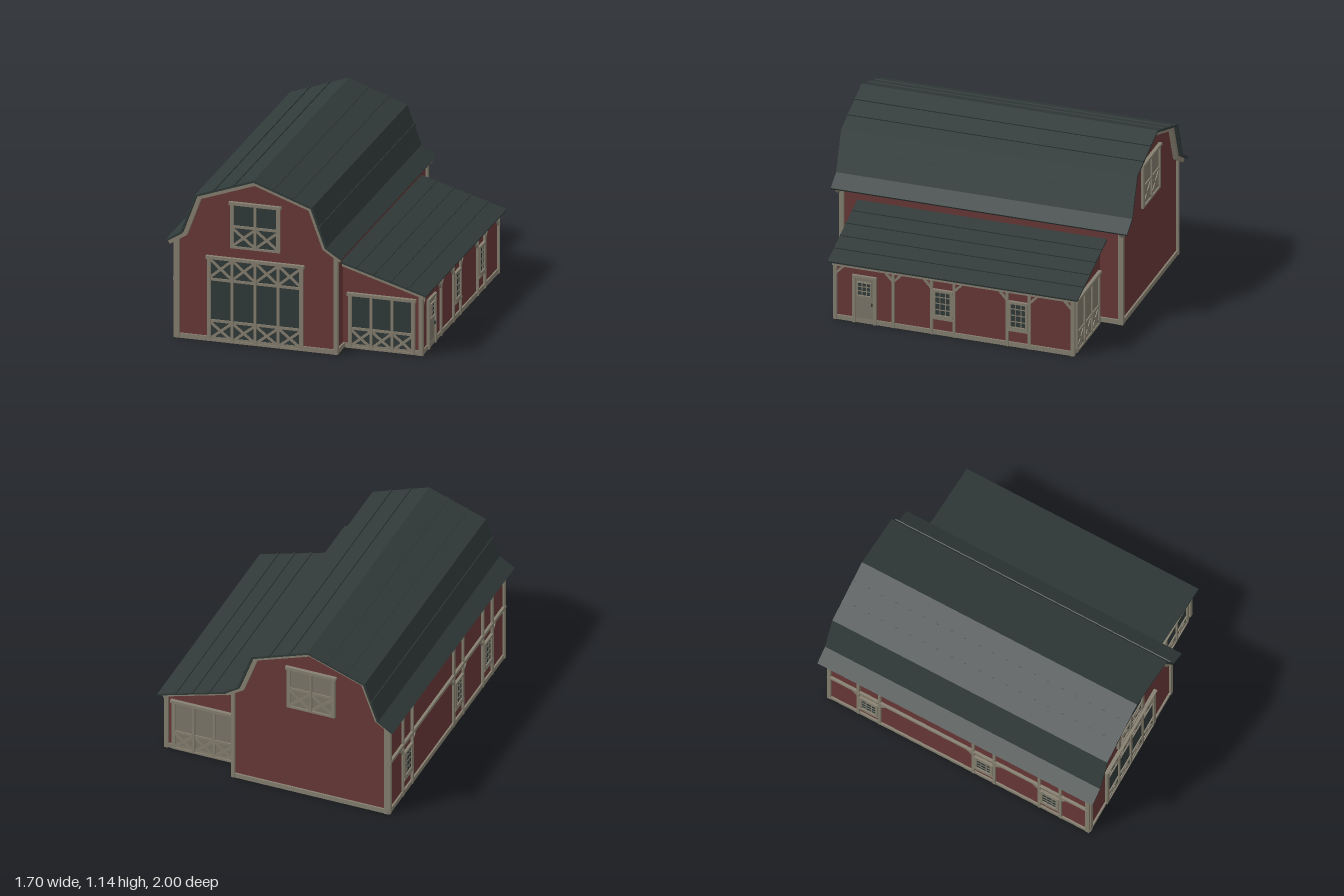
import * as THREE from 'three';

const material = (name, color) => {
  const m = new THREE.MeshStandardMaterial({ color });
  m.name = name;
  return m;
};

export function createModel() {
  const red = material('barnRed', 0x683737);
  const trim = material('weatheredTrim', 0x857f6f);
  const dark = material('darkSlate', 0x303a39);
  const pale = material('paleDoor', 0x7c7769);
  const barn = new THREE.Group();
  barn.name = 'barn';

  const add = (parent, name, geometry, mat) => {
    const mesh = new THREE.Mesh(geometry, mat);
    mesh.name = name;
    parent.add(mesh);
    return mesh;
  };

  // Solid from an x/y outline, running from z0 to z1
  const prism = (name, points, z0, z1, mat) => {
    const shape = new THREE.Shape(points.map(([x, y]) => new THREE.Vector2(x, y)));
    const geo = new THREE.ExtrudeGeometry(shape, { depth: z1 - z0, bevelEnabled: false });
    return add(barn, name, geo.translate(0, 0, z0), mat);
  };

  // Mitred copy of a left-to-right polyline, moved d along its upward normal
  const offset = (pts, d) => pts.map(([x, y], i) => {
    const normal = (a, b) => new THREE.Vector2(a[1] - b[1], b[0] - a[0]).normalize();
    const n0 = normal(pts[Math.max(i - 1, 0)], pts[Math.max(i, 1)]);
    const last = pts.length - 1;
    const n1 = normal(pts[Math.min(i, last - 1)], pts[Math.min(i + 1, last)]);
    const m = n0.clone().add(n1).normalize();
    const k = d / m.dot(n0);
    return [x + m.x * k, y + m.y * k];
  });
  const band = (pts, a, b) => [...offset(pts, a), ...offset(pts, b).reverse()];

  // Board between two points on a facade; local z points outward
  const bar = (g, name, x0, y0, x1, y1, w = 0.02, d = 0.018, mat = trim) => {
    const mesh = add(g, name, new THREE.BoxGeometry(Math.hypot(x1 - x0, y1 - y0), w, d), mat);
    mesh.position.set((x0 + x1) / 2, (y0 + y1) / 2, d / 2);
    mesh.rotation.z = Math.atan2(y1 - y0, x1 - x0);
    return mesh;
  };
  const panel = (g, name, x0, y0, x1, y1, mat, d = 0.008) =>
    bar(g, name, x0, (y0 + y1) / 2, x1, (y0 + y1) / 2, y1 - y0, d, mat);
  const cross = (g, x0, y0, x1, y1) => {
    bar(g, 'crossBrace', x0, y0, x1, y1, 0.017, 0.013);
    bar(g, 'crossBrace', x0, y1, x1, y0, 0.017, 0.014);
  };
  const facade = (name, x, z, turn) => {
    const g = new THREE.Group();
    g.name = name;
    g.position.set(x, 0, z);
    g.rotation.y = turn;
    barn.add(g);
    return g;
  };

  // Row of door leaves with crossed panels between given heights
  const doors = (g, name, x0, x1, y0, y1, leaves, crossRows, mat) => {
    const set = new THREE.Group();
    set.name = name;
    g.add(set);
    panel(set, 'doorPanel', x0, y0, x1, y1, mat);
    const step = (x1 - x0) / leaves;
    for (let i = 0; i <= leaves; i++) {
      const edge = i === 0 || i === leaves;
      bar(set, 'doorStile', x0 + i * step, y0, x0 + i * step, y1, edge ? 0.024 : 0.017);
    }
    bar(set, 'doorHeader', x0 - 0.02, y1, x1 + 0.02, y1, 0.02, 0.024);
    bar(set, 'doorSill', x0 - 0.01, y0 + 0.007, x1 + 0.01, y0 + 0.007, 0.014);
    for (const [a, b, rail] of crossRows) {
      bar(set, 'doorRail', x0, rail, x1, rail, 0.017, 0.016);
      for (let i = 0; i < leaves; i++) cross(set, x0 + i * step, a, x0 + (i + 1) * step, b);
    }
  };

  // Small paned window
  const paned = (g, name, x0, y0, x1, y1, cols, rows, frame) => {
    const set = new THREE.Group();
    set.name = name;
    g.add(set);
    panel(set, 'glass', x0, y0, x1, y1, dark, 0.009);
    for (let i = 0; i <= cols; i++) {
      const x = x0 + (x1 - x0) * i / cols;
      bar(set, 'upright', x, y0, x, y1, i % cols ? 0.006 : frame, i % cols ? 0.012 : 0.018);
    }
    for (let j = 0; j <= rows; j++) {
      const y = y0 + (y1 - y0) * j / rows;
      bar(set, 'crossbar', x0 - frame / 2, y, x1 + frame / 2, y,
        j % rows ? 0.006 : frame, j % rows ? 0.012 : 0.019);
    }
  };

  // Raised seams along the length of one roof slope
  const seams = (name, a, b, fractions, z0, z1) => {
    for (const t of fractions) {
      const mesh = add(barn, name, new THREE.BoxGeometry(0.016, 0.014, z1 - z0), dark);
      mesh.position.set(a[0] + (b[0] - a[0]) * t, a[1] + (b[1] - a[1]) * t, (z0 + z1) / 2);
      mesh.rotation.z = Math.atan2(b[1] - a[1], b[0] - a[0]);
    }
  };

  // Main walls and gambrel roof
  const roof = [[-0.85, 0.672], [-0.748, 0.737], [-0.652, 0.997], [-0.26, 1.137],
    [0.132, 0.997], [0.228, 0.737], [0.33, 0.672]];
  const under = offset(roof, -0.014);
  prism('mainWalls', [[-0.795, 0], [0.275, 0], [0.275, 0.69], ...under.slice(1, 6).reverse(),
    [-0.795, 0.69]], -0.945, 0.945, red);
  prism('mainRoof', band(roof, -0.014, 0), -1, 1, dark);
  for (const z of [-0.975, 0.945]) prism('gableTrim', band(roof, -0.042, -0.013), z, z + 0.03, trim);
  const seamRows = [[], [0.5], [0.33, 0.67], [0.33, 0.67], [0.5], []];
  seamRows.forEach((row, i) => seams('roofSeam', roof[i], roof[i + 1], row, -1, 1));

  // Lean-to walls and roof
  const shedRoof = [[0.27, 0.593], [0.845, 0.422]];
  prism('leanToWalls', [[0.26, 0], [0.798, 0], [0.798, 0.425], [0.26, 0.584]], -0.8, 0.8, red);
  prism('leanToRoof', band(shedRoof, -0.012, 0), -0.847, 0.84, dark);
  for (const z of [-0.825, 0.8]) {
    prism('leanToRakeTrim', band([[0.28, 0.59], [0.825, 0.428]], -0.034, -0.011), z, z + 0.025, trim);
  }
  seams('leanToSeam', ...shedRoof, [0.18, 0.38, 0.58, 0.78], -0.847, 0.84);

  // Gable ends: front and back (s mirrors x on the turned back facade)
  for (const s of [1, -1]) {
    const turn = s > 0 ? 0 : Math.PI;
    const main = facade(s > 0 ? 'frontGable' : 'backGable', 0, 0.945 * s, turn);
    const mid = -0.263 * s;
    bar(main, 'baseboard', -0.8 * s, 0.016, 0.285 * s, 0.016, 0.032, 0.012);
    for (const x of [-0.783, 0.276]) bar(main, 'cornerBoard', x * s, 0, x * s, 0.69, 0.026, 0.015);
    doors(main, 'loftDoors', mid - 0.155, mid + 0.155, 0.648, 0.952, 2,
      [[0.66, 0.785, 0.795]], s > 0 ? dark : pale);
    if (s > 0) {
      doors(main, 'mainDoors', -0.57, 0.046, 0.003, 0.57, 4,
        [[0.015, 0.135, 0.142], [0.43, 0.56, 0.422]], dark);
    }

    const shed = facade(s > 0 ? 'leanToFront' : 'leanToBack', 0, 0.8 * s, turn);
    bar(shed, 'baseboard', 0.29 * s, 0.016, 0.8 * s, 0.016, 0.032, 0.01);
    bar(shed, 'cornerBoard', 0.798 * s, 0, 0.798 * s, 0.42, 0.026, 0.015);
    const c = 0.537 * s;
    doors(shed, 'leanToDoors', c - 0.21, c + 0.21, 0.003, 0.368, 3,
      [[0.015, 0.13, 0.137]], s > 0 ? dark : pale);
  }

  // Post with optional slanted braces to its left and right
  const post = (g, x, y0, y1, sides) => {
    bar(g, 'post', x, y0, x, y1, 0.018, 0.015);
    for (const d of sides) bar(g, 'kneeBrace', x, y1 - 0.065, x + d * 0.055, y1 - 0.005, 0.014, 0.013);
  };

  // Lean-to side: posts, windows and entry door
  const right = facade('leanToSide', 0.798, 0, Math.PI / 2);
  bar(right, 'baseboard', -0.8, 0.016, 0.8, 0.016, 0.032, 0.01);
  bar(right, 'topBeam', -0.82, 0.395, 0.82, 0.395, 0.022, 0.02);
  for (const [x, sides] of [[-0.8, [1]], [-0.41, [-1, 1]], [-0.15, [-1]], [0, [1]],
    [0.36, [-1]], [0.51, [1]], [0.8, [-1]]]) post(right, x, 0, 0.39, sides);
  for (const x of [-0.075, 0.435]) {
    paned(right, 'sideWindow', x - 0.058, 0.135, x + 0.058, 0.315, 3, 4, 0.018);
    bar(right, 'windowSill', x - 0.075, 0.12, x + 0.075, 0.12, 0.014, 0.02);
  }
  panel(right, 'entryDoor', -0.67, 0.003, -0.54, 0.325, pale);
  for (const x of [-0.676, -0.533]) bar(right, 'doorJamb', x, 0, x, 0.335, 0.02);
  bar(right, 'doorHead', -0.686, 0.328, -0.523, 0.328, 0.016);
  paned(right, 'doorWindow', -0.65, 0.195, -0.56, 0.29, 3, 3, 0.007);
  bar(right, 'doorHandle', -0.553, 0.13, -0.553, 0.15, 0.008, 0.02, dark);

  // Main long sides: corner boards and base
  const left = facade('leftSide', -0.795, 0, -Math.PI / 2);
  const rightMain = facade('rightSide', 0.275, 0, Math.PI / 2);
  for (const g of [left, rightMain]) {
    bar(g, 'baseboard', -0.95, 0.016, 0.95, 0.016, 0.032, 0.012);
    for (const x of [-0.94, 0.94]) bar(g, 'cornerBoard', x, 0, x, 0.67, 0.026, 0.015);
  }

  // Left side: mid rail, paired posts, braces and windows
  bar(left, 'midRail', -0.95, 0.395, 0.95, 0.395, 0.022, 0.018);
  for (const x of [-0.65, 0.185, 0.665]) {
    for (const d of [-1, 1]) {
      post(left, x + d * 0.077, 0, 0.39, [d]);
      post(left, x + d * 0.077, 0.4, 0.66, [d]);
    }
    paned(left, 'sideWindow', x - 0.058, 0.135, x + 0.058, 0.315, 3, 4, 0.018);
    bar(left, 'windowSill', x - 0.075, 0.12, x + 0.075, 0.12, 0.014, 0.02);
  }
  return barn;
}
